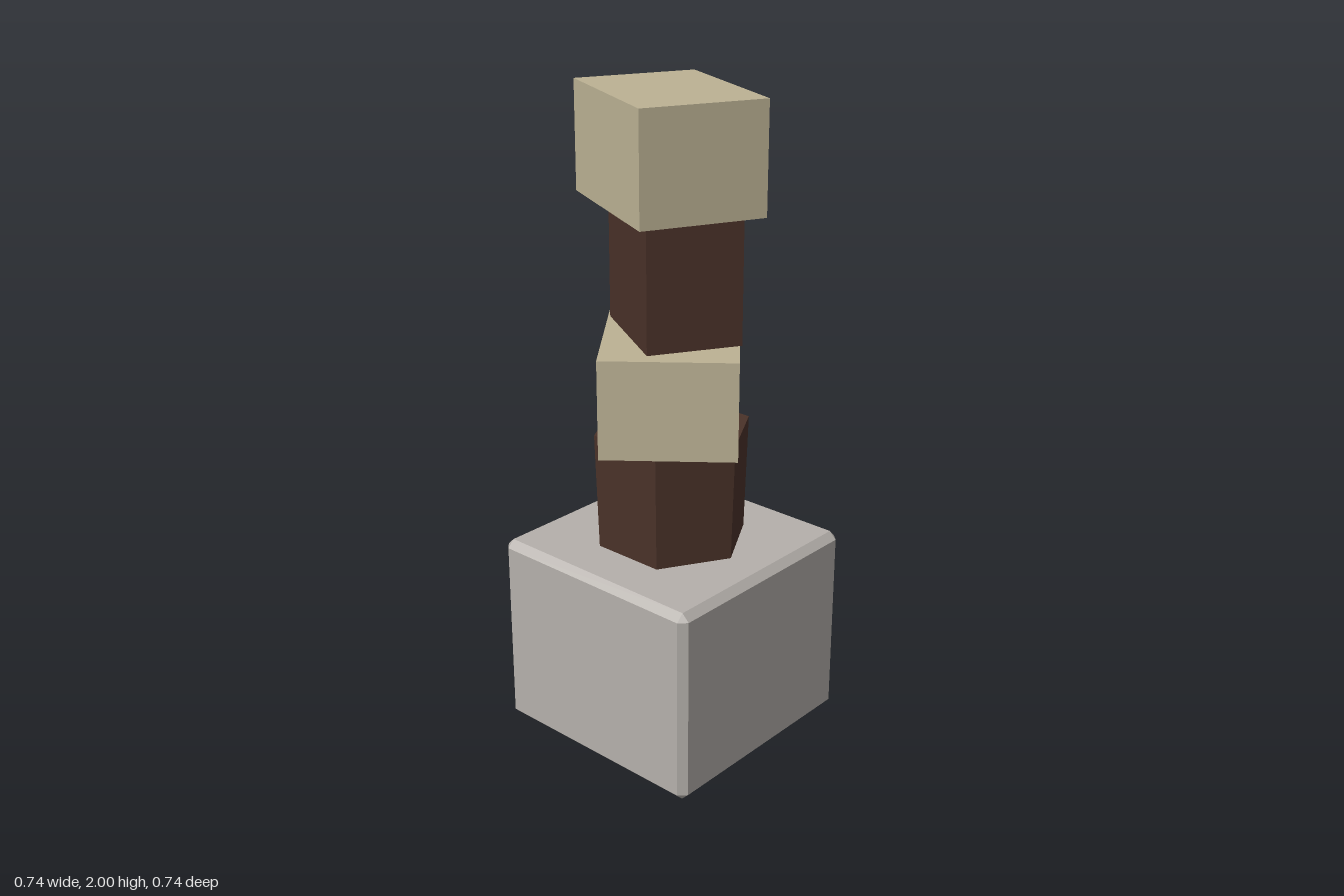
import * as THREE from 'three';

const stone = new THREE.MeshStandardMaterial({ color: 0xb5b0ab, flatShading: true, side: THREE.DoubleSide });
const wood = new THREE.MeshStandardMaterial({ color: 0x4a3229, flatShading: true });
const slab = new THREE.MeshStandardMaterial({ color: 0xbcb294, flatShading: true });

// Chamfered block from stacked eight-point rings, open underneath
function chamferedBlock(half, height, bevel) {
  const inner = half - bevel;
  const positions = [];
  const index = [];
  const ring = (y, outer) => {
    let corner = [[inner, outer], [outer, inner]];
    for (let i = 0; i < 4; i++) {
      for (const [x, z] of corner) positions.push(x, y, z);
      corner = corner.map(([x, z]) => [z, -x]);
    }
  };
  ring(0, inner);
  ring(bevel, half);
  ring(height - bevel, half);
  ring(height, inner);
  for (let r = 0; r < 3; r++) {
    for (let j = 0; j < 8; j++) {
      const a = r * 8 + j, b = r * 8 + (j + 1) % 8;
      // The end rings collapse to squares, so skip their zero-length sides
      if (!(r === 0 && j % 2 === 0)) index.push(a, b, b + 8);
      if (!(r === 2 && j % 2 === 0)) index.push(a, b + 8, a + 8);
    }
  }
  index.push(24, 26, 28, 24, 28, 30); // top face
  const geometry = new THREE.BufferGeometry();
  geometry.setAttribute('position', new THREE.Float32BufferAttribute(positions, 3));
  geometry.setIndex(index);
  const flat = geometry.toNonIndexed();
  flat.computeVertexNormals();
  return flat;
}

export function createModel() {
  const group = new THREE.Group();

  const add = (name, geometry, material, x = 0, y = 0, turn = 0) => {
    const mesh = new THREE.Mesh(geometry, material);
    mesh.name = name;
    mesh.position.set(x, y, 0);
    mesh.rotation.y = turn;
    group.add(mesh);
  };
  // Box standing between two heights, turned about the vertical axis
  const block = (name, material, width, depth, y0, y1, x, turn) =>
    add(name, new THREE.BoxGeometry(width, y1 - y0, depth), material, x, (y0 + y1) / 2, turn);

  add('base', chamferedBlock(0.37, 0.624, 0.023), stone);

  // Six-sided post, slightly wider at the top
  add('lowerPost', new THREE.CylinderGeometry(0.245, 0.234, 0.366, 6), wood, 0, 0.807);

  block('middleSlab', slab, 0.532, 0.399, 0.99, 1.29, -0.002, 0.684);
  block('upperPost', wood, 0.376, 0.285, 1.29, 1.675, 0.008, 1.042);
  block('topSlab', slab, 0.502, 0.375, 1.675, 2, -0.018, 1.126);

  return group;
}
